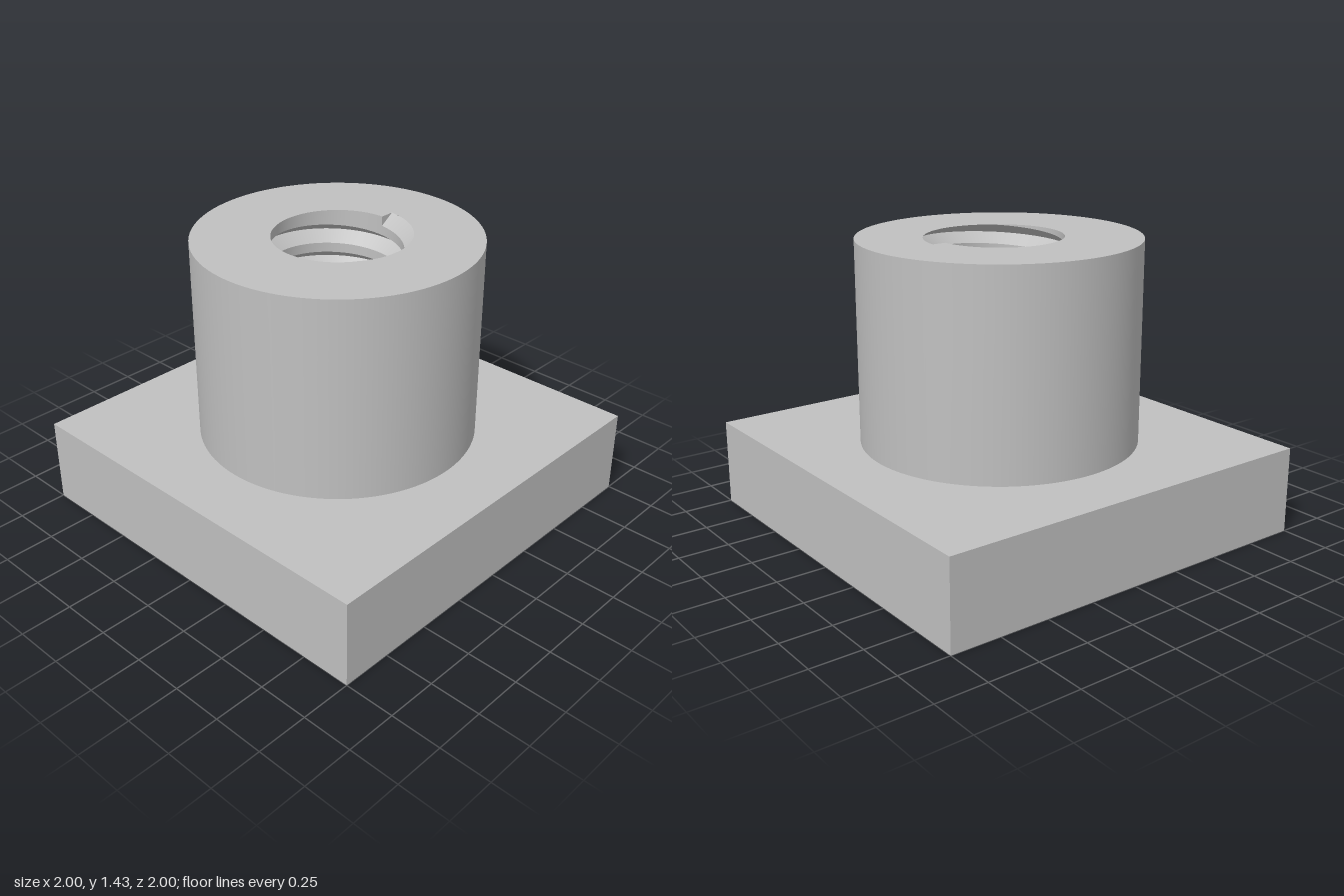
import * as THREE from 'three';
import { toCreasedNormals } from 'three/addons/utils/BufferGeometryUtils.js';

const FLOOR = 0.43, TOP = 1.43, OUTER = 0.685;   // plate top, boss top, boss radius
const BORE = 0.31, ROOT = 0.38, INNER = 0.283;   // bore, thread root, trench radius
const TURNS = 7, PITCH = (TOP - FLOOR) / TURNS, HALF = PITCH / 3;
const SLOPE = HALF / (ROOT - BORE);
const SEG = 96;

// Radius/height section of the threaded bore at angle t, from the floor up to the rim
function boreSection(t) {
  const start = FLOOR + PITCH * t / (2 * Math.PI);
  const cross = ROOT - (start - FLOOR) / SLOPE;
  const flank = (r) => start - (ROOT - r) * SLOPE;
  const lowY = Math.min(FLOOR, flank(BORE));
  const pts = [
    // trench where the first turn dips into the floor
    [INNER, FLOOR],
    [INNER, Math.min(FLOOR, flank(INNER))],
    [THREE.MathUtils.clamp(cross, INNER, BORE), lowY],
    [BORE, lowY],
  ];
  for (let k = 0; k < TURNS; k++) {
    const y = start + k * PITCH;
    pts.push([BORE, y - HALF], [ROOT, y]);
    const over = Math.max(0, y + HALF - TOP);
    pts.push([BORE + over / SLOPE, y + HALF - over]);
  }
  pts.push([pts[pts.length - 1][0], TOP]);
  return pts;
}

// Skin a varying section around the y axis
function sweep(section) {
  const pos = [], index = [];
  let n = 0;
  for (let i = 0; i <= SEG; i++) {
    const t = i / SEG * Math.PI * 2;
    const pts = section(t);
    n = pts.length;
    for (const [r, y] of pts) pos.push(r * Math.cos(t), y, -r * Math.sin(t));
  }
  for (let i = 0; i < SEG; i++) {
    for (let j = 0; j < n - 1; j++) {
      const a = i * n + j, b = a + 1, c = a + n, d = c + 1;
      index.push(a, b, c, b, d, c);
    }
  }
  const g = new THREE.BufferGeometry();
  g.setAttribute('position', new THREE.Float32BufferAttribute(pos, 3));
  g.setIndex(index);
  return toCreasedNormals(g, 0.5);
}

// Flat polygon in the z = 0 plane
function polygon(points) {
  return new THREE.ShapeGeometry(new THREE.Shape(points.map(([x, y]) => new THREE.Vector2(x, y))));
}

export function createModel() {
  const model = new THREE.Group();
  model.name = 'threadedBoss';
  const grey = new THREE.MeshStandardMaterial({ color: 0xc0c0c0, side: THREE.DoubleSide });
  grey.name = 'grey';
  const add = (name, geometry) => {
    const mesh = new THREE.Mesh(geometry, grey);
    mesh.name = name;
    model.add(mesh);
    return mesh;
  };

  // Square base plate: box without its upper face, which has an opening under the boss
  const box = new THREE.BoxGeometry(2, FLOOR, 2);
  const ids = Array.from(box.index.array);
  ids.splice(12, 6);
  box.setIndex(ids);
  box.clearGroups();
  add('basePlate', box).position.y = FLOOR / 2;

  const square = new THREE.Shape([[-1, -1], [1, -1], [1, 1], [-1, 1]].map(([x, y]) => new THREE.Vector2(x, y)));
  square.holes.push(new THREE.Path().absarc(0, 0, 0.6, 0, Math.PI * 2, true));
  const plateTop = add('basePlateTop', new THREE.ShapeGeometry(square, 32));
  plateTop.rotation.x = -Math.PI / 2;
  plateTop.position.y = FLOOR;

  // Boss: outer wall and ring-shaped top
  add('bossWall', new THREE.CylinderGeometry(OUTER, OUTER, TOP - FLOOR, SEG, 1, true))
    .position.y = (TOP + FLOOR) / 2;
  add('bossTop', sweep((t) => [boreSection(t).pop(), [OUTER, TOP]]));

  // Helical thread and the floor of the blind hole
  add('threadedBore', sweep(boreSection));
  const floor = add('boreFloor', new THREE.CircleGeometry(INNER, SEG));
  floor.rotation.x = -Math.PI / 2;
  floor.position.y = FLOOR;

  // End faces where the thread groove starts and stops
  add('threadEndTop', polygon([[BORE, TOP - HALF], [ROOT, TOP], [BORE, TOP]]));
  add('threadEndBottom', polygon([
    [INNER, FLOOR], [INNER, FLOOR - (ROOT - INNER) * SLOPE], [ROOT, FLOOR], [BORE, FLOOR + HALF], [BORE, FLOOR],
  ]));

  return model;
}
